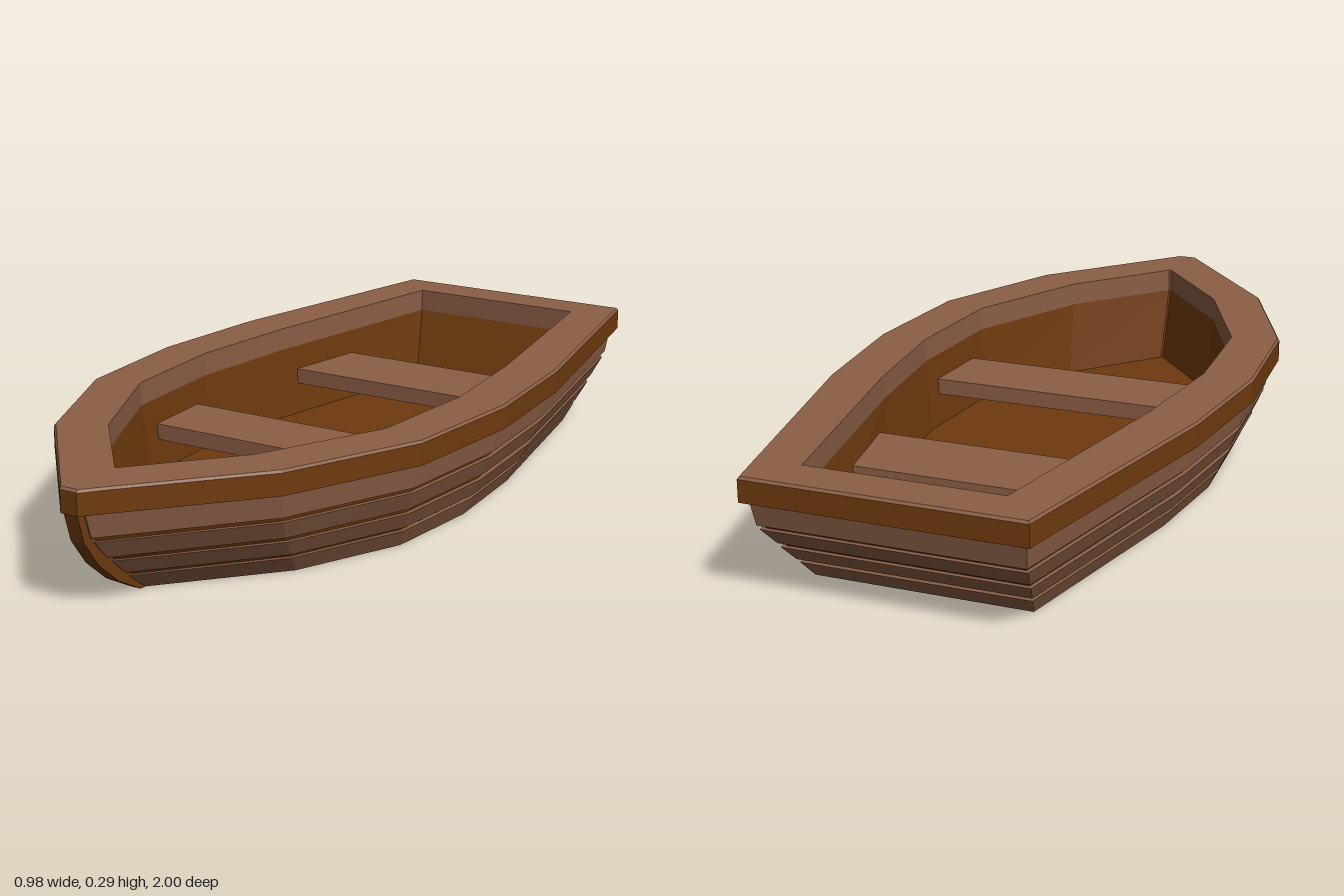
import * as THREE from 'three';

const wood = new THREE.MeshStandardMaterial({ color: 0x8b5e46, flatShading: true });
const dark = new THREE.MeshStandardMaterial({ color: 0x6f3a0e, flatShading: true });

// Half outlines in plan as [x, z], from stern to bow
const RIM = [[0.328, -1], [0.46, -0.335], [0.49, 0], [0.46, 0.335], [0.31, 0.67], [0.022, 1]];
const INNER = [[0.235, -0.89], [0.337, -0.3], [0.367, 0], [0.345, 0.3], [0.2, 0.61], [0.003, 0.84]];
const FLOOR = [[0.218, -0.835], [0.323, -0.29], [0.353, 0], [0.33, 0.28], [0.195, 0.56], [0.003, 0.78]];

// Planks: lower and upper edge as [y, half width, stern length, bow length]
const PLANKS = [
  [[0, 0.386, 0.81, 0.775], [0.044, 0.407, 0.85, 0.83]],
  [[0.055, 0.412, 0.86, 0.842], [0.097, 0.433, 0.9, 0.888]],
  [[0.11, 0.436, 0.91, 0.903], [0.157, 0.457, 0.955, 0.945]],
  [[0.17, 0.46, 0.965, 0.955], [0.233, 0.47, 0.98, 0.975]],
];

// Mirror a half outline into a closed ring at height y
function ring(half, y) {
  const right = half.map(([x, z]) => new THREE.Vector3(x, y, z));
  const left = half.map(([x, z]) => new THREE.Vector3(-x, y, z)).reverse();
  return [...right, ...left];
}

// Rim outline scaled to a hull level, optionally inset
function hullRing([y, w, stern, bow], inset = 0) {
  return ring(RIM.map(([x, z]) => [
    Math.max(0.004, (x * (w - inset)) / 0.49),
    z * ((z < 0 ? stern : bow) - inset),
  ]), y);
}

const centreline = (loop) => loop.map((p) => new THREE.Vector3(0, p.y, p.z));

// Skin a list of closed rings; upward order faces outward
function loft(loops) {
  const pos = [];
  const tri = (a, b, c) => {
    if (new THREE.Triangle(a, b, c).getArea() > 1e-8) {
      for (const p of [a, b, c]) pos.push(p.x, p.y, p.z);
    }
  };
  for (let k = 0; k < loops.length - 1; k++) {
    const lo = loops[k], hi = loops[k + 1];
    lo.forEach((a, i) => {
      const j = (i + 1) % lo.length;
      tri(a, hi[i], lo[j]);
      tri(lo[j], hi[i], hi[j]);
    });
  }
  const g = new THREE.BufferGeometry();
  g.setAttribute('position', new THREE.Float32BufferAttribute(pos, 3));
  g.computeVertexNormals();
  return g;
}

export function createModel() {
  const boat = new THREE.Group();
  boat.name = 'rowingBoat';
  const add = (name, geometry, material) => {
    const mesh = new THREE.Mesh(geometry, material);
    mesh.name = name;
    boat.add(mesh);
  };

  // Dark hull shell showing in the plank gaps, with flat bottom
  const core = PLANKS.flat().map((level) => hullRing(level, 0.012));
  add('hullCore', loft([centreline(core[0]), ...core]), dark);

  // Overlapping side planks
  PLANKS.forEach(([lo, hi], i) => {
    add('plank' + (i + 1), loft([
      hullRing(lo, 0.014), hullRing(lo), hullRing(hi), hullRing(hi, 0.014),
    ]), wood);
  });

  // Inside walls and floor
  const floor = ring(FLOOR, 0.05);
  add('innerWalls', loft([ring(INNER, 0.232), floor]), dark);
  add('floor', loft([floor, centreline(floor)]), dark);

  // Gunwale: dark outer band and a bevelled top board
  const bevel = RIM.map(([x, z]) => [x * 0.99, z * 0.995]);
  add('gunwaleBand', loft([ring(INNER, 0.232), ring(RIM, 0.232), ring(RIM, 0.284)]), dark);
  add('gunwaleTop', loft([
    ring(RIM, 0.284), ring(bevel, 0.29), ring(INNER, 0.29), ring(INNER, 0.232),
  ]), wood);

  // Curved stem post at the bow
  const edge = [[0.79, 0], [0.865, 0.043], [0.93, 0.1], [0.976, 0.165], [0.996, 0.235]];
  const back = edge.map(([z, y]) => [z - 0.05, y]).reverse();
  const profile = new THREE.Shape([...edge, ...back].map(([z, y]) => new THREE.Vector2(z, y)));
  const stem = new THREE.ExtrudeGeometry(profile, { depth: 0.036, bevelEnabled: false });
  stem.rotateY(-Math.PI / 2).translate(0.018, 0, 0);
  add('stem', stem, dark);

  // Bench seats tapering with the hull: [back z, half width, front z, half width]
  for (const [name, z0, w0, z1, w1] of [
    ['frontSeat', 0.05, 0.363, 0.24, 0.345],
    ['rearSeat', -0.58, 0.287, -0.36, 0.325],
  ]) {
    const seat = [[w0, z0], [w1, z1]];
    const bottom = ring(seat, 0.13), top = ring(seat, 0.17);
    add(name, loft([centreline(bottom), bottom, top, centreline(top)]), wood);
  }

  return boat;
}
